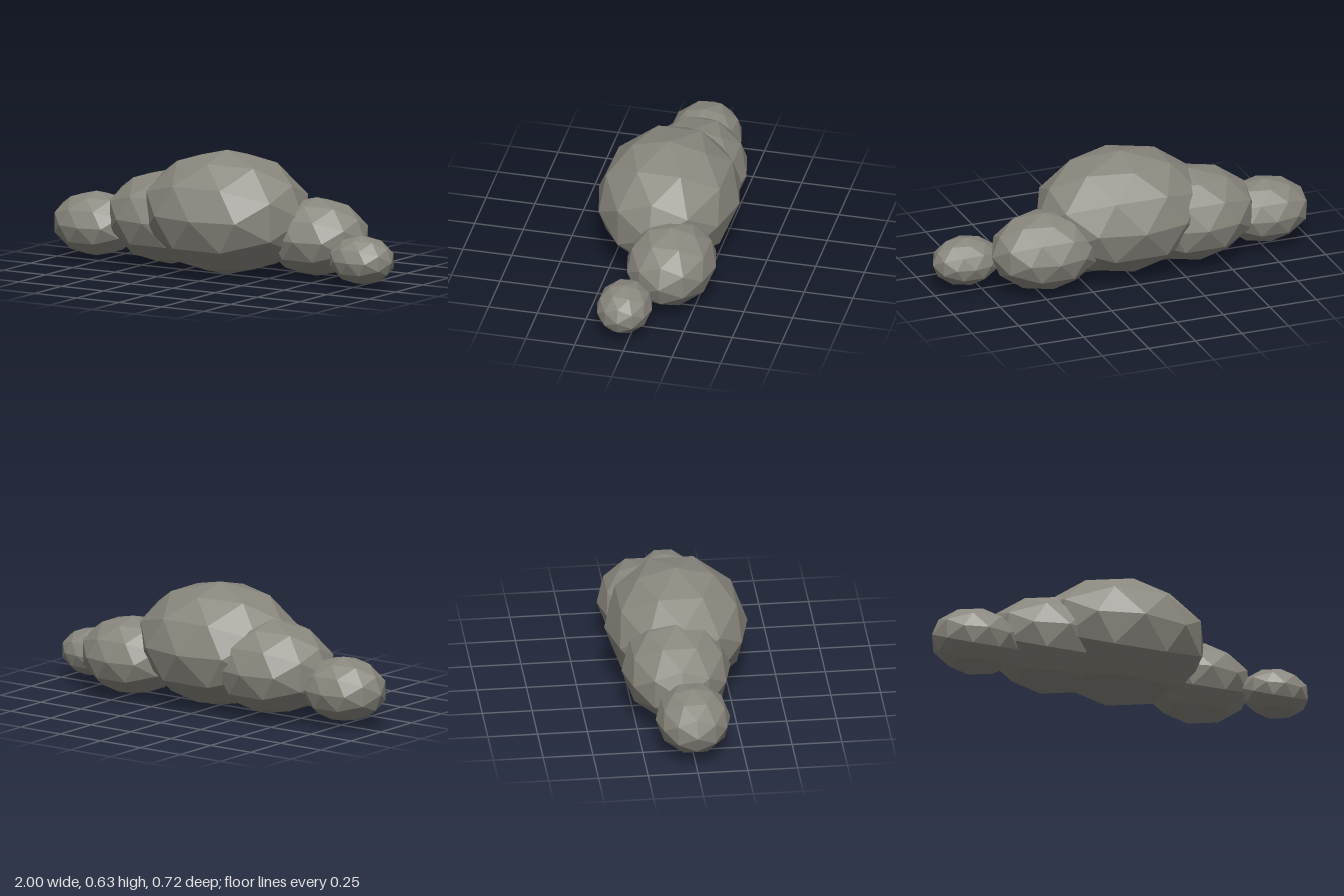
import * as THREE from 'three';

export function createModel() {
  const model = new THREE.Group();
  model.name = 'boulderRidge';

  const stone = new THREE.MeshStandardMaterial({ color: 0x8a877e, flatShading: true });
  stone.name = 'stone grey';

  // Faceted ball shared by every boulder, turned so its long facets face sideways
  const ball = new THREE.IcosahedronGeometry(1, 1).rotateY(Math.PI / 2);

  // name, centre x, y, z, half width; each boulder is squashed in height and depth
  const boulders = [
    ['mainBoulder', 0.005, 0.318, 0, 0.45],
    ['rightInnerBoulder', -0.35, 0.258, -0.039, 0.342],
    ['rightOuterBoulder', -0.766, 0.192, 0, 0.234],
    ['leftInnerBoulder', 0.459, 0.218, -0.12, 0.284],
    ['leftOuterBoulder', 0.822, 0.154, 0.035, 0.176],
  ];
  for (const [name, x, y, z, r] of boulders) {
    const boulder = new THREE.Mesh(ball, stone);
    boulder.name = name;
    boulder.position.set(x, y, z);
    boulder.scale.set(r, r * 0.7, r * 0.8);
    model.add(boulder);
  }
  return model;
}
